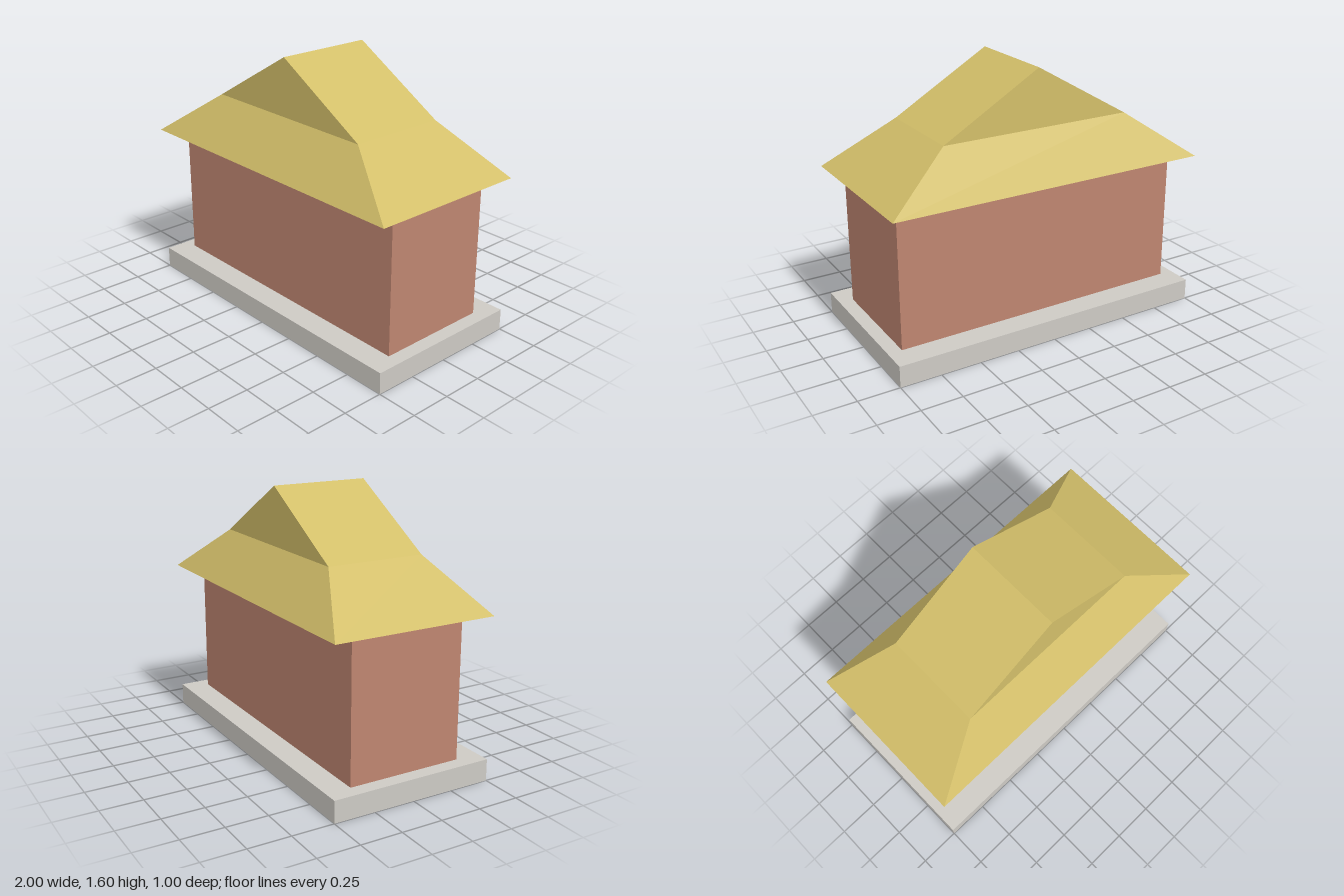
import * as THREE from 'three';

const PLINTH_TOP = 0.13, EAVE = 0.965, KNEE = 1.25, RIDGE = 1.6;

function block(name, w, d, y0, y1, color) {
  const mesh = new THREE.Mesh(
    new THREE.BoxGeometry(w, y1 - y0, d),
    new THREE.MeshStandardMaterial({ color })
  );
  mesh.position.y = (y0 + y1) / 2;
  mesh.name = name;
  return mesh;
}

// Flat polygon as a triangle fan, corners counter-clockwise from outside
function panel(name, corners, material) {
  const points = [];
  for (let i = 1; i < corners.length - 1; i++) points.push(...corners[0], ...corners[i], ...corners[i + 1]);
  const geometry = new THREE.BufferGeometry();
  geometry.setAttribute('position', new THREE.Float32BufferAttribute(points, 3));
  geometry.computeVertexNormals();
  const mesh = new THREE.Mesh(geometry, material);
  mesh.name = name;
  return mesh;
}

// Half of the thin, open-bottomed hip-and-gable roof: one hip skirt, gable and side
function roofHalf(material) {
  const half = new THREE.Group();
  half.add(
    panel('hipSkirt', [[-1, EAVE, 0.5], [1, EAVE, 0.5], [0.6, KNEE, 0.3], [-0.6, KNEE, 0.3]], material),
    panel('gable', [[-0.6, KNEE, 0.3], [0.6, KNEE, 0.3], [0, RIDGE, 0.3]], material),
    panel('lowerSlope', [[1, EAVE, 0.5], [1, EAVE, -0.5], [0.6, KNEE, -0.3], [0.6, KNEE, 0.3]], material),
    panel('upperSlope', [[0.6, KNEE, 0.3], [0.6, KNEE, -0.3], [0, RIDGE, -0.3], [0, RIDGE, 0.3]], material)
  );
  return half;
}

export function createModel() {
  const model = new THREE.Group();
  model.name = 'house';
  model.add(block('plinth', 2, 1, 0, PLINTH_TOP, 0xcdcac4));
  model.add(block('walls', 1.83, 0.7, PLINTH_TOP, EAVE, 0xbe8570));

  // The roof repeats after half a turn
  const roof = new THREE.Group();
  roof.name = 'roof';
  const material = new THREE.MeshStandardMaterial({ color: 0xd2be69, flatShading: true, side: THREE.DoubleSide });
  ['frontRoof', 'backRoof'].forEach((name, i) => {
    const half = roofHalf(material);
    half.name = name;
    half.rotation.y = i * Math.PI;
    roof.add(half);
  });
  model.add(roof);
  return model;
}
